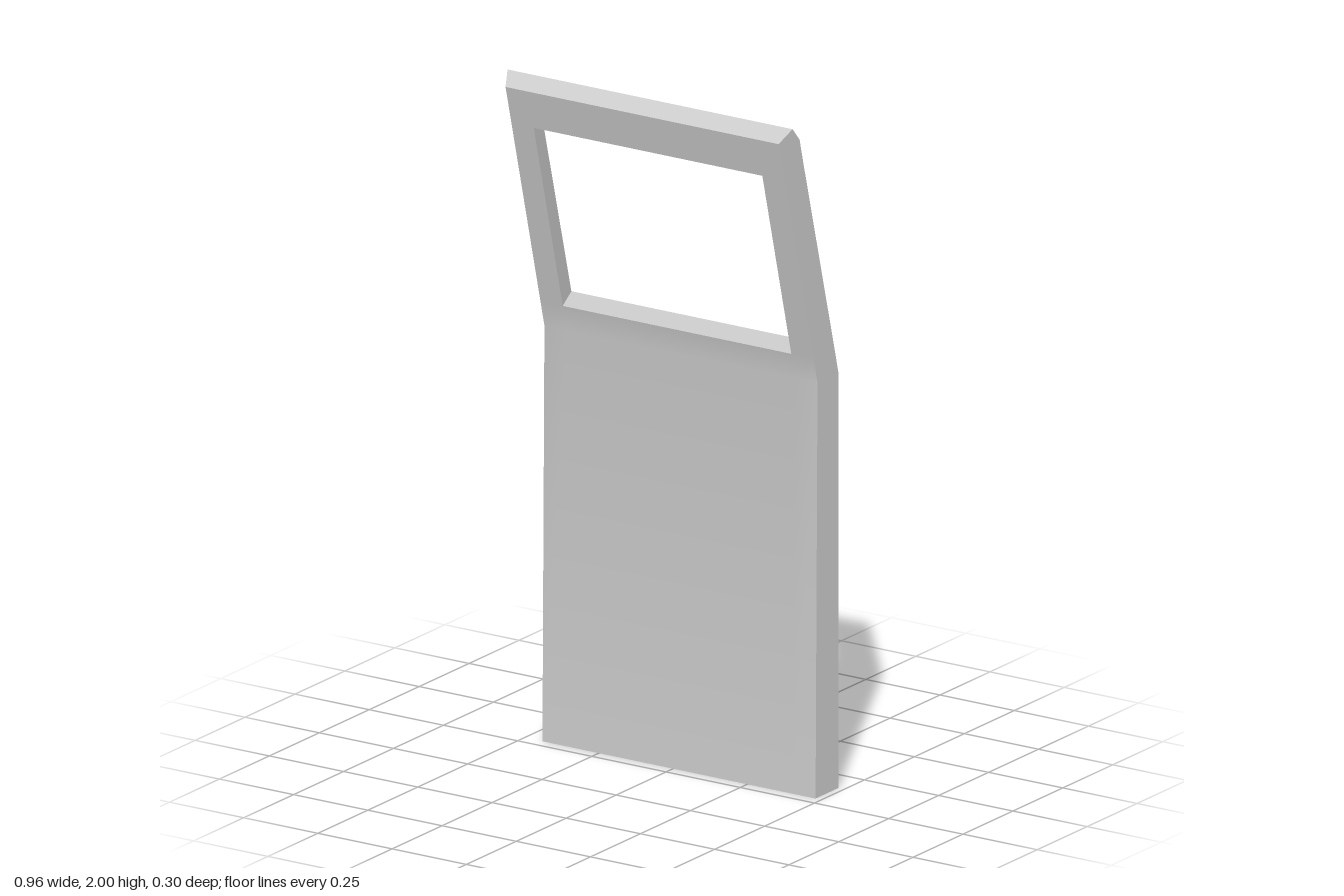
import * as THREE from 'three';
import { toCreasedNormals } from 'three/addons/utils/BufferGeometryUtils.js';

// Side profiles as [y, z], from the foot up: bend, window sill, window head, top
const FRONT = [[0, -0.035], [1.22, -0.045], [1.297, -0.025], [1.86, 0.12], [1.975, 0.15]];
const BACK = [[0, -0.15], [1.22, -0.15], [1.305, -0.128], [1.882, 0.025], [1.96, 0.045]];
const RIDGE = [2, 0.08];

// Columns: outer edge, window edge, window edge, outer edge (one side is bevelled)
const FRONT_X = [-0.44, -0.365, 0.405, 0.48];
const BACK_X = [-0.48, -0.405, 0.405, 0.48];

function makeGeometry(build) {
  const positions = [];
  const tri = (...corners) => corners.forEach((p) => positions.push(...p));
  const quad = (a, b, c, d) => { tri(a, b, c); tri(a, c, d); };
  build(quad, tri);
  const geometry = new THREE.BufferGeometry();
  geometry.setAttribute('position', new THREE.Float32BufferAttribute(positions, 3));
  return toCreasedNormals(geometry, 0.6);
}

export function createModel() {
  const f = (col, row) => [FRONT_X[col], ...FRONT[row]];
  const b = (col, row) => [BACK_X[col], ...BACK[row]];
  const r = (col) => [BACK_X[col], ...RIDGE];

  const geometry = makeGeometry((quad, tri) => {
    // Front and back skins, leaving the window cell open
    for (let row = 0; row < 4; row++) {
      for (let col = 0; col < 3; col++) {
        if (row === 2 && col === 1) continue;
        quad(f(col, row), f(col + 1, row), f(col + 1, row + 1), f(col, row + 1));
        quad(b(col + 1, row), b(col, row), b(col, row + 1), b(col + 1, row + 1));
      }
      // Outer side edges
      quad(b(0, row), f(0, row), f(0, row + 1), b(0, row + 1));
      quad(f(3, row), b(3, row), b(3, row + 1), f(3, row + 1));
    }
    // Underside, top edge and the chamfer behind it
    for (let col = 0; col < 3; col++) {
      quad(b(col, 0), b(col + 1, 0), f(col + 1, 0), f(col, 0));
      quad(f(col, 4), f(col + 1, 4), r(col + 1), r(col));
      quad(b(col + 1, 4), b(col, 4), r(col), r(col + 1));
    }
    tri(b(0, 4), f(0, 4), r(0));
    tri(f(3, 4), b(3, 4), r(3));
    // Window reveal: sill, head and both jambs
    quad(f(1, 2), f(2, 2), b(2, 2), b(1, 2));
    quad(b(1, 3), b(2, 3), f(2, 3), f(1, 3));
    quad(f(1, 2), b(1, 2), b(1, 3), f(1, 3));
    quad(b(2, 2), f(2, 2), f(2, 3), b(2, 3));
  });

  const door = new THREE.Mesh(geometry, new THREE.MeshStandardMaterial({ color: 0xcccccc }));
  door.name = 'doorPanel';
  const group = new THREE.Group();
  group.name = 'door';
  group.add(door);
  return group;
}
